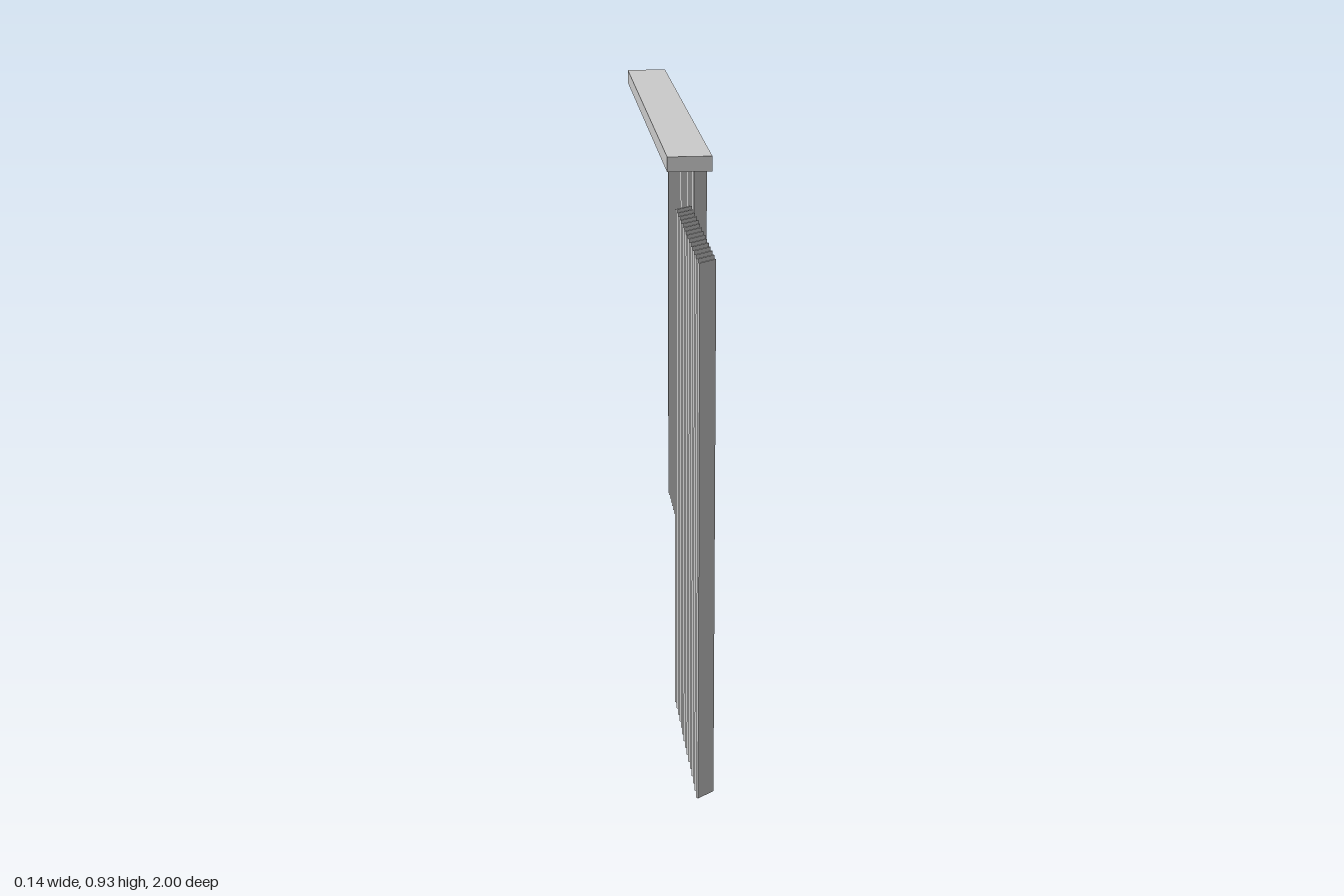
import * as THREE from 'three';

const material = new THREE.MeshStandardMaterial({ color: 0xcccccc, flatShading: true });

function box(name, w, h, d, x, y, z) {
  const mesh = new THREE.Mesh(new THREE.BoxGeometry(w, h, d), material);
  mesh.name = name;
  mesh.position.set(x, y, z);
  return mesh;
}

// A row of upright, parallel slats turned part-way open
function slatRow(name, positions, x, bottom, top) {
  const row = new THREE.Group();
  row.name = name;
  for (const z of positions) {
    const slat = box('slat', 0.034, top - bottom, 0.004, x, (bottom + top) / 2, z);
    slat.rotation.y = 0.7;
    row.add(slat);
  }
  return row;
}

const spaced = (from, to, count) =>
  Array.from({ length: count }, (_, i) => from + (to - from) * i / (count - 1));

export function createModel() {
  const model = new THREE.Group();
  model.name = 'verticalBlinds';

  // Head rail over the rear blind
  model.add(box('headRail', 0.085, 0.029, 0.97, 0.0255, 0.8535, -0.515));

  // Rear blind hangs from the rail, its last slats bunched together
  model.add(slatRow('rearSlats', [...spaced(-0.0755, -0.566, 22), -0.576, -0.5855], 0.0495, 0, 0.84));

  // Separate front blind
  model.add(slatRow('frontSlats', spaced(0.9875, 0.6525, 15), -0.0545, 0.088, 0.93));

  return model;
}
